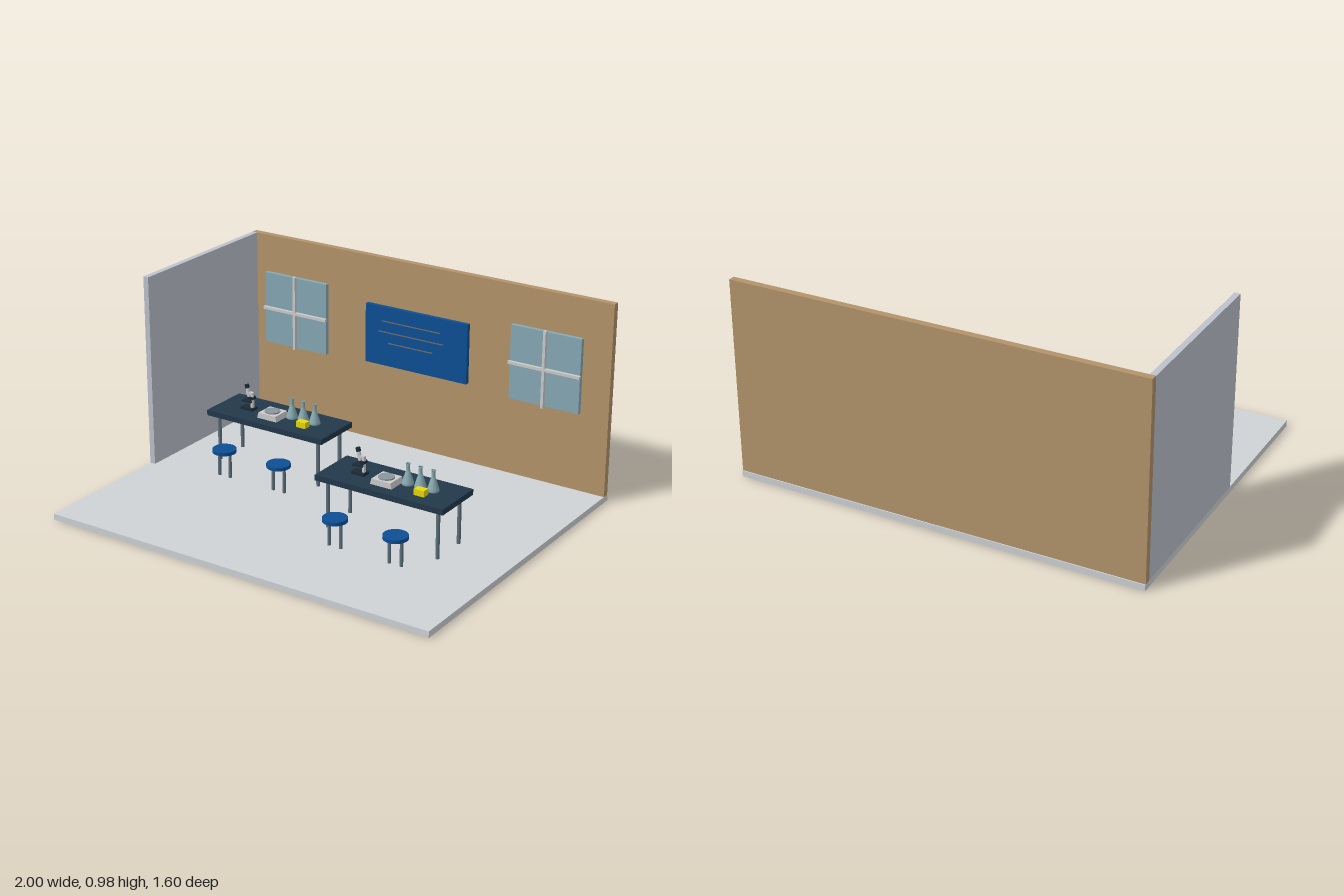
import * as THREE from 'three';

const mat = (color, opts = {}) => new THREE.MeshStandardMaterial({ color, ...opts });
const M = {
  floor: mat(0xcfd3d6), wall: mat(0xbcc2cc), tan: mat(0xb3946a), glass: mat(0x86a9b5),
  white: mat(0xdde0e0), blue: mat(0x0d4f95), chalk: mat(0x6f6a62), top: mat(0x22384a),
  metal: mat(0x5f717e), dark: mat(0x1c2a36), disc: mat(0x8a959c), yellow: mat(0xe6d80a),
  flask: mat(0x86a9b0, { side: THREE.DoubleSide }),
};

function add(parent, name, geometry, material, x = 0, y = 0, z = 0) {
  const mesh = new THREE.Mesh(geometry, material);
  mesh.name = name;
  mesh.position.set(x, y, z);
  parent.add(mesh);
  return mesh;
}

// Box given by its limits on each axis
function box(parent, name, material, [x0, x1], [y0, y1], [z0, z1]) {
  return add(parent, name, new THREE.BoxGeometry(x1 - x0, y1 - y0, z1 - z0), material,
    (x0 + x1) / 2, (y0 + y1) / 2, (z0 + z1) / 2);
}

// Upright cylinder from y0 to y1
function post(parent, name, material, r, y0, y1, x, z, sides = 16) {
  return add(parent, name, new THREE.CylinderGeometry(r, r, y1 - y0, sides), material, x, (y0 + y1) / 2, z);
}

function group(parent, name, x = 0, y = 0, z = 0) {
  const g = new THREE.Group();
  g.name = name;
  g.position.set(x, y, z);
  parent.add(g);
  return g;
}

function addWindow(parent, x) {
  const g = group(parent, 'window', x, 0.603, 0);
  box(g, 'pane', M.glass, [-0.183, 0.183], [-0.183, 0.183], [-0.762, -0.74]);
  box(g, 'verticalBar', M.white, [-0.007, 0.007], [-0.19, 0.19], [-0.742, -0.724]);
  box(g, 'horizontalBar', M.white, [-0.187, 0.187], [-0.007, 0.007], [-0.742, -0.724]);
}

function addBoard(parent) {
  const g = group(parent, 'board');
  box(g, 'boardPanel', M.blue, [-0.31, 0.26], [0.437, 0.737], [-0.765, -0.74]);
  [[0.665, 0.165], [0.61, 0.183], [0.556, 0.125]].forEach(([y, w]) =>
    box(g, 'chalkLine', M.chalk, [-0.052 - w, -0.052 + w], [y - 0.002, y + 0.002], [-0.741, -0.735]));
}

function addMicroscope(parent, x, z) {
  const g = group(parent, 'microscope', x, 0.31, z);
  box(g, 'base', M.dark, [-0.034, 0.034], [0, 0.013], [-0.022, 0.022]);
  box(g, 'arm', M.white, [0.014, 0.026], [0.013, 0.09], [-0.007, 0.007]);
  box(g, 'stage', M.dark, [-0.03, 0.022], [0.04, 0.047], [-0.018, 0.018]);
  box(g, 'bridge', M.white, [-0.012, 0.026], [0.08, 0.09], [-0.007, 0.007]);
  const tube = group(g, 'tube', -0.004, 0.09, 0);
  tube.rotation.z = 0.22;
  post(tube, 'barrel', M.white, 0.009, -0.025, 0.02, 0, 0);
  post(tube, 'eyepiece', M.dark, 0.011, 0.018, 0.035, 0, 0);
  post(tube, 'objective', M.dark, 0.006, -0.038, -0.025, 0, 0);
  const knob = post(g, 'focusKnob', M.dark, 0.009, -0.018, 0.018, 0.02, 0);
  knob.rotation.x = Math.PI / 2;
  knob.position.y = 0.06;
}

// Weighing balance: a body tapering upward with a round pan
function addBalance(parent, x, z) {
  const g = group(parent, 'balance', x, 0.31, z);
  const body = new THREE.BoxGeometry(0.112, 0.028, 0.096);
  const p = body.attributes.position;
  for (let i = 0; i < p.count; i++) if (p.getY(i) > 0) p.setX(i, p.getX(i) * 0.88);
  body.computeVertexNormals();
  add(g, 'balanceBody', body, M.white, 0, 0.014, 0);
  post(g, 'pan', M.disc, 0.037, 0.028, 0.034, 0, 0, 32);
}

const flaskProfile = [[0, 0.001], [0.026, 0.001], [0.028, 0.005], [0.026, 0.014], [0.01, 0.066], [0.0085, 0.072], [0.0085, 0.1]]
  .map(([r, y]) => new THREE.Vector2(r, y));

function addFlask(parent, x, z) {
  const g = group(parent, 'flask', x, 0.31, z);
  add(g, 'flaskBody', new THREE.LatheGeometry(flaskProfile, 24), M.flask);
  const lip = add(g, 'flaskLip', new THREE.TorusGeometry(0.0095, 0.002, 8, 24), M.flask, 0, 0.1, 0);
  lip.rotation.x = Math.PI / 2;
}

function addStool(parent, x, z) {
  const g = group(parent, 'stool', x, 0, z);
  post(g, 'seat', M.blue, 0.057, 0.17, 0.187, 0, 0, 32);
  for (const s of [-1, 1]) post(g, 'stoolLeg', M.metal, 0.008, 0.045, 0.171, s * 0.031, 0);
}

// Bench with its instruments and two stools
function addWorkstation(parent, x, z) {
  const g = group(parent, 'workstation', x, 0, z);
  box(g, 'benchTop', M.top, [-0.329, 0.329], [0.284, 0.311], [-0.129, 0.129]);
  for (const sx of [-1, 1]) for (const sz of [-1, 1])
    post(g, 'benchLeg', M.metal, 0.009, 0.054, 0.285, sx * 0.285, sz * 0.09);
  addMicroscope(g, -0.17, 0.007);
  addBalance(g, -0.018, 0.027);
  [0.066, 0.13, 0.195].forEach((fx) => addFlask(g, fx, -0.014));
  box(g, 'sampleBox', M.yellow, [0.156, 0.207], [0.32, 0.349], [0.047, 0.084]);
  for (const sx of [-0.156, 0.156]) addStool(g, sx, 0.226);
}

export function createModel() {
  const model = new THREE.Group();
  model.name = 'laboratory';

  // Room shell
  box(model, 'floor', M.floor, [-1, 1], [0, 0.03], [-0.8, 0.8]);
  box(model, 'backWall', M.tan, [-1, 1], [0.03, 0.975], [-0.795, -0.762]);
  box(model, 'sideWall', M.wall, [-1, -0.972], [0.03, 0.975], [-0.762, 0.1]);

  // Wall fittings
  addWindow(model, -0.726);
  addWindow(model, 0.674);
  addBoard(model);

  // Furniture
  addWorkstation(model, -0.429, -0.174);
  addWorkstation(model, 0.427, 0.167);
  return model;
}
